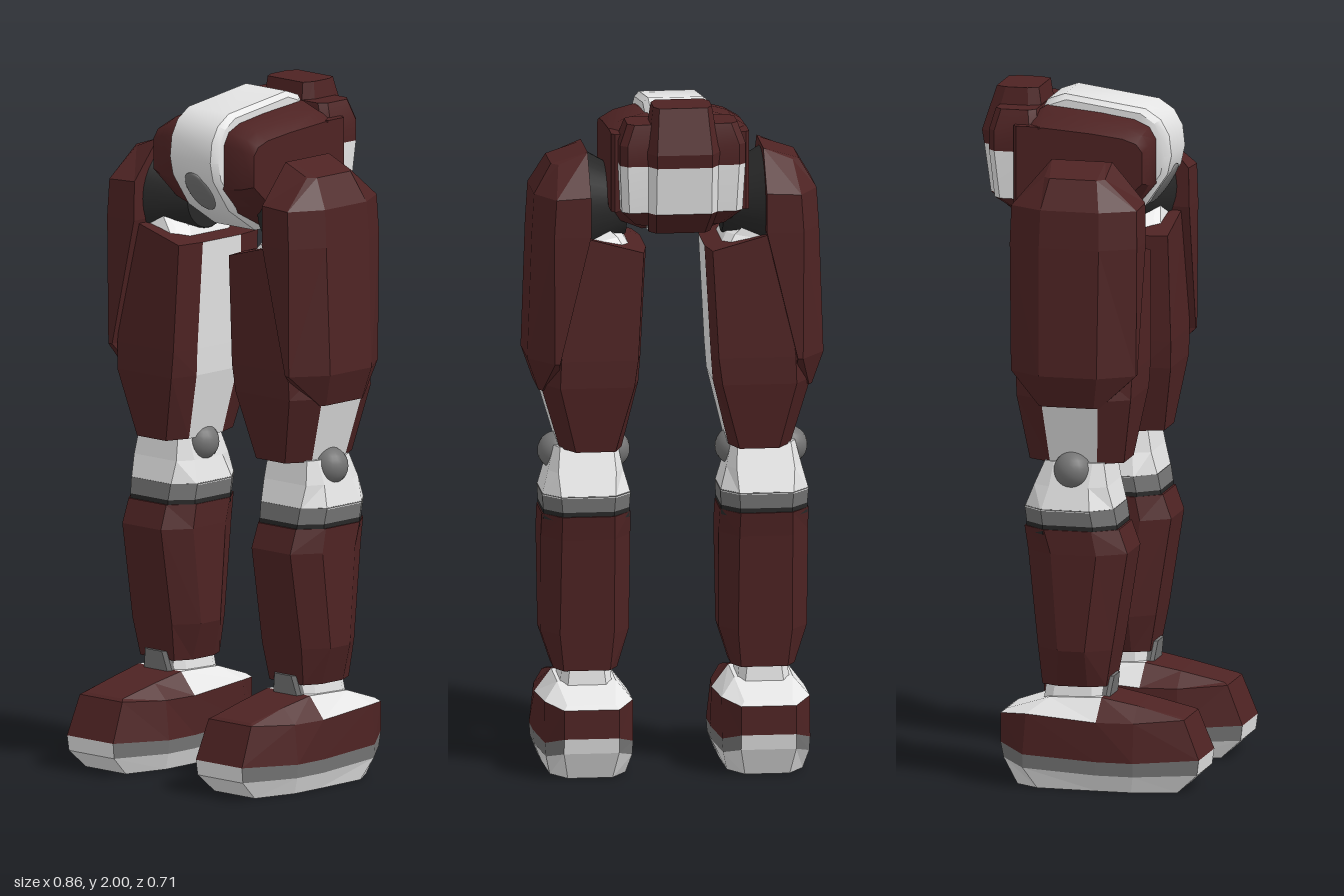
import * as THREE from 'three';
import { toCreasedNormals } from 'three/addons/utils/BufferGeometryUtils.js';

const material = (name, color) => {
  const m = new THREE.MeshStandardMaterial({ color });
  m.name = name;
  return m;
};

export function createModel() {
  const red = material('dark red armour', 0x4e2323);
  const white = material('off white', 0xe4e4e4);
  const grey = material('mid grey', 0x747474);
  const dark = material('near black', 0x272727);
  const model = new THREE.Group();
  model.name = 'mechLegs';

  // Skins a stack of equal-length rings; paint(row, face) picks the colour.
  // Row -1 is the bottom cap and the last row the top cap. side = -1 mirrors in x.
  function loft(name, rings, paint, { side = 1, crease = 0, parent = model } = {}) {
    const n = rings[0].length, last = rings.length - 1, buckets = new Map();
    const pick = typeof paint === 'function' ? paint : () => paint;
    const quad = (mat, a, b, c, d) => {
      if (!buckets.has(mat)) buckets.set(mat, []);
      const order = side > 0 ? [a, b, c, a, c, d] : [a, c, b, a, d, c];
      for (const p of order) buckets.get(mat).push(p[0] * side, p[1], p[2]);
    };
    for (let r = 0; r < last; r++) {
      for (let j = 0; j < n; j++) {
        const k = (j + 1) % n;
        quad(pick(r, j), rings[r][j], rings[r][k], rings[r + 1][k], rings[r + 1][j]);
      }
    }
    for (let j = 0; j < n / 2 - 1; j++) {
      const strip = (R) => [R[j], R[j + 1], R[n - 2 - j], R[n - 1 - j]];
      quad(pick(last, j), ...strip(rings[last]));
      quad(pick(-1, j), ...strip(rings[0]).reverse());
    }
    let geo = new THREE.BufferGeometry();
    const all = [], mats = [];
    for (const [mat, list] of buckets) {
      geo.addGroup(all.length / 3, list.length / 3, mats.length);
      for (const v of list) all.push(v);
      mats.push(mat);
    }
    geo.setAttribute('position', new THREE.Float32BufferAttribute(all, 3));
    geo.computeVertexNormals();
    if (crease) geo = toCreasedNormals(geo, crease);
    const mesh = new THREE.Mesh(geo, mats.length > 1 ? mats : mats[0]);
    mesh.name = name;
    parent.add(mesh);
    return mesh;
  }

  // Eight-sided section: inner/outer heights and x, front/back z, corner cuts.
  // Faces: 1 outer, 3 back, 5 inner, 7 front, the rest are the cut corners.
  function oct(yi, yo, xi, xo, zf, zb, ci, co, cz) {
    return [
      [xo - co, yo, zf], [xo, yo, zf - cz], [xo, yo, zb + cz], [xo - co, yo, zb],
      [xi + ci, yi, zb], [xi, yi, zb + cz], [xi, yi, zf - cz], [xi + ci, yi, zf],
    ];
  }
  // Symmetric section about x = cx, from [half width, y, z] listed front to back
  const sym = (cx, half) => [
    ...half.map(([w, y, z]) => [cx + w, y, z]),
    ...[...half].reverse().map(([w, y, z]) => [cx - w, y, z]),
  ];
  // Side profile [z, y] placed at x, scaled about the pelvis centre
  const slice = (profile, x, sz, sy) =>
    profile.map(([z, y]) => [x, 1.8 + (y - 1.8) * sy, -0.02 + (z + 0.02) * sz]);

  // ---- Pelvis ----
  const body = [[0.165, 1.87], [0.165, 1.74], [0.1, 1.66], [0, 1.605], [-0.12, 1.605], [-0.2, 1.68],
    [-0.21, 1.8], [-0.2, 1.93], [-0.16, 1.955], [0, 1.94], [0.1, 1.925], [0.145, 1.905]];
  loft('pelvis', [[-0.2, 0.92, 0.7], [-0.16, 0.97, 0.88], [-0.1, 1, 1], [0.1, 1, 1], [0.16, 0.97, 0.88],
    [0.2, 0.92, 0.7]].map(([x, sz, sy]) => slice(body, x, sz, sy)), red, { crease: 0.7 });

  const band = [[0.207, 1.82], [0.195, 1.765], [0.13, 1.67], [0.02, 1.597], [-0.12, 1.597], [-0.2, 1.66],
    [-0.2, 1.9], [-0.16, 1.97], [-0.11, 1.988], [0.13, 1.955], [0.175, 1.925], [0.2, 1.88]];
  loft('pelvisBand', [[-0.095, 0.92], [-0.08, 1], [0.08, 1], [0.095, 0.92]]
    .map(([x, s]) => slice(band, x, s, s)), white, { crease: 0.7 });

  const port = new THREE.Mesh(new THREE.SphereGeometry(1, 20, 12), grey);
  port.name = 'frontPort';
  port.scale.set(0.048, 0.072, 0.014);
  port.position.set(0, 1.722, 0.164);
  port.rotation.x = 0.6;
  model.add(port);

  // ---- Rear pack: wide body plus a raised centre ridge, both with a white stripe ----
  const stripe = (r) => (r === 1 ? white : red);
  loft('rearPack', [
    oct(1.64, 1.64, -0.13, 0.13, -0.17, -0.24, 0.02, 0.02, 0.02),
    oct(1.69, 1.69, -0.175, 0.175, -0.17, -0.3, 0.02, 0.02, 0.02),
    oct(1.83, 1.83, -0.182, 0.182, -0.17, -0.315, 0.02, 0.02, 0.02),
    oct(1.89, 1.89, -0.182, 0.182, -0.17, -0.315, 0.02, 0.02, 0.02),
    oct(1.95, 1.95, -0.16, 0.16, -0.18, -0.3, 0.02, 0.02, 0.02),
  ], stripe, { crease: 0.4 });
  loft('rearPackRidge', [
    oct(1.615, 1.615, -0.09, 0.09, -0.17, -0.24, 0.02, 0.02, 0.03),
    oct(1.69, 1.69, -0.1, 0.1, -0.17, -0.33, 0.02, 0.02, 0.03),
    oct(1.83, 1.83, -0.105, 0.105, -0.17, -0.35, 0.025, 0.025, 0.04),
    oct(1.87, 1.87, -0.105, 0.105, -0.17, -0.357, 0.025, 0.025, 0.04),
    oct(2, 2, -0.085, 0.085, -0.19, -0.315, 0.015, 0.015, 0.03),
  ], stripe);

  // ---- Legs ----
  for (const side of [1, -1]) {
    const leg = new THREE.Group();
    leg.name = side > 0 ? 'leftLeg' : 'rightLeg';
    model.add(leg);
    const opt = { side, parent: leg };
    const part = (name, rings, paint) => loft(name, rings, paint, opt);

    part('pelvisSidePanel', [
      oct(1.68, 1.68, 0.15, 0.2, -0.15, -0.235, 0, 0.01, 0.01),
      oct(1.91, 1.91, 0.15, 0.2, -0.15, -0.235, 0, 0.01, 0.01),
    ], red);

    // Hip joint
    const hip = new THREE.Mesh(new THREE.CylinderGeometry(0.165, 0.09, 0.13, 32), dark);
    hip.name = 'hipJoint';
    hip.rotation.z = -side * Math.PI / 2;
    hip.position.set(side * 0.205, 1.66, -0.018);
    leg.add(hip);
    part('hipMount', [
      oct(1.53, 1.57, 0.12, 0.27, 0.12, -0.15, 0.02, 0.02, 0.04),
      oct(1.58, 1.66, 0.15, 0.27, 0.09, -0.12, 0.02, 0.02, 0.04),
    ], white);

    // Thigh with white inner strip and lower outer plate
    part('thigh', [
      oct(0.955, 0.955, 0.155, 0.335, 0.12, -0.16, 0.025, 0.04, 0.07),
      oct(1.15, 1.15, 0.108, 0.393, 0.152, -0.188, 0.02, 0.05, 0.085),
      oct(1.23, 1.23, 0.102, 0.38, 0.155, -0.19, 0.015, 0.04, 0.085),
      oct(1.545, 1.6, 0.085, 0.33, 0.15, -0.18, 0.015, 0.03, 0.085),
    ], (r, j) => (r >= 0 && r < 3 && (j === 5 || (r === 0 && j === 1)) ? white : red));
    part('thighArmour', [
      oct(1.13, 1.13, 0.34, 0.397, 0.07, -0.11, 0, 0.01, 0.015),
      oct(1.225, 1.225, 0.345, 0.43, 0.172, -0.2, 0, 0.07, 0.1),
      oct(1.6, 1.6, 0.255, 0.417, 0.175, -0.203, 0, 0.055, 0.1),
      oct(1.715, 1.71, 0.255, 0.41, 0.173, -0.2, 0, 0.055, 0.1),
      oct(1.83, 1.795, 0.255, 0.36, 0.075, -0.105, 0, 0.02, 0.02),
    ], red);

    // Knee
    part('knee', [
      oct(0.82, 0.82, 0.13, 0.387, 0.1, -0.165, 0.05, 0.05, 0.06),
      oct(0.89, 0.89, 0.15, 0.368, 0.082, -0.135, 0.025, 0.025, 0.05),
      oct(0.96, 0.96, 0.165, 0.35, 0.07, -0.105, 0.015, 0.015, 0.03),
    ], white);
    for (const x of [0.178, 0.337]) {
      const ball = new THREE.Mesh(new THREE.SphereGeometry(0.055, 20, 14), grey);
      ball.name = 'kneeBall';
      ball.position.set(side * x, 0.935, -0.022);
      leg.add(ball);
    }
    part('kneeBand', [
      oct(0.75, 0.75, 0.133, 0.383, 0.11, -0.16, 0.05, 0.05, 0.06),
      oct(0.778, 0.778, 0.133, 0.383, 0.108, -0.16, 0.05, 0.05, 0.06),
      oct(0.825, 0.825, 0.13, 0.387, 0.1, -0.165, 0.05, 0.05, 0.06),
    ], (r) => (r < 1 ? dark : grey));

    // Shin
    part('shin', [
      oct(0.3, 0.3, 0.165, 0.35, 0.075, -0.115, 0.025, 0.025, 0.05),
      oct(0.41, 0.41, 0.13, 0.387, 0.095, -0.125, 0.05, 0.05, 0.07),
      oct(0.695, 0.695, 0.128, 0.388, 0.14, -0.155, 0.053, 0.053, 0.08),
      oct(0.765, 0.765, 0.13, 0.387, 0.115, -0.166, 0.053, 0.053, 0.07),
    ], red);

    // Ankle
    part('ankle', [
      oct(0.2, 0.2, 0.175, 0.34, 0.065, -0.12, 0.02, 0.02, 0.03),
      oct(0.32, 0.32, 0.19, 0.325, 0.06, -0.105, 0.02, 0.02, 0.03),
    ], white);
    part('ankleTongue', [
      oct(0.26, 0.26, 0.2, 0.316, 0.08, 0.03, 0.01, 0.01, 0.01),
      oct(0.325, 0.325, 0.215, 0.301, 0.09, 0.03, 0.01, 0.01, 0.01),
    ], grey);

    // Foot: white sole, grey side band, red shoe, white heel cover
    part('foot', [
      sym(0.257, [[0.08, 0, 0.29], [0.115, 0, 0.16], [0.115, 0, 0.06], [0.11, 0, -0.12], [0.065, 0, -0.19]]),
      sym(0.257, [[0.09, 0.055, 0.35], [0.135, 0.05, 0.17], [0.135, 0.05, 0.06], [0.125, 0.06, -0.16], [0.08, 0.08, -0.228]]),
      sym(0.257, [[0.092, 0.1, 0.356], [0.138, 0.09, 0.17], [0.138, 0.09, 0.06], [0.128, 0.1, -0.16], [0.08, 0.125, -0.237]]),
      sym(0.257, [[0.085, 0.215, 0.31], [0.125, 0.205, 0.17], [0.135, 0.205, 0.06], [0.128, 0.22, -0.15], [0.08, 0.21, -0.237]]),
      sym(0.257, [[0.075, 0.222, 0.298], [0.08, 0.25, 0.17], [0.085, 0.27, 0.065], [0.085, 0.265, -0.09], [0.07, 0.222, -0.22]]),
    ], (r, j) => {
      if (r < 1) return white;
      if (r === 1) return j === 9 || j === 4 ? white : grey;
      if (r === 2) return red;
      if (r === 3) return j >= 2 && j <= 6 ? white : red;
      return j >= 2 ? white : red;
    });
  }
  return model;
}
